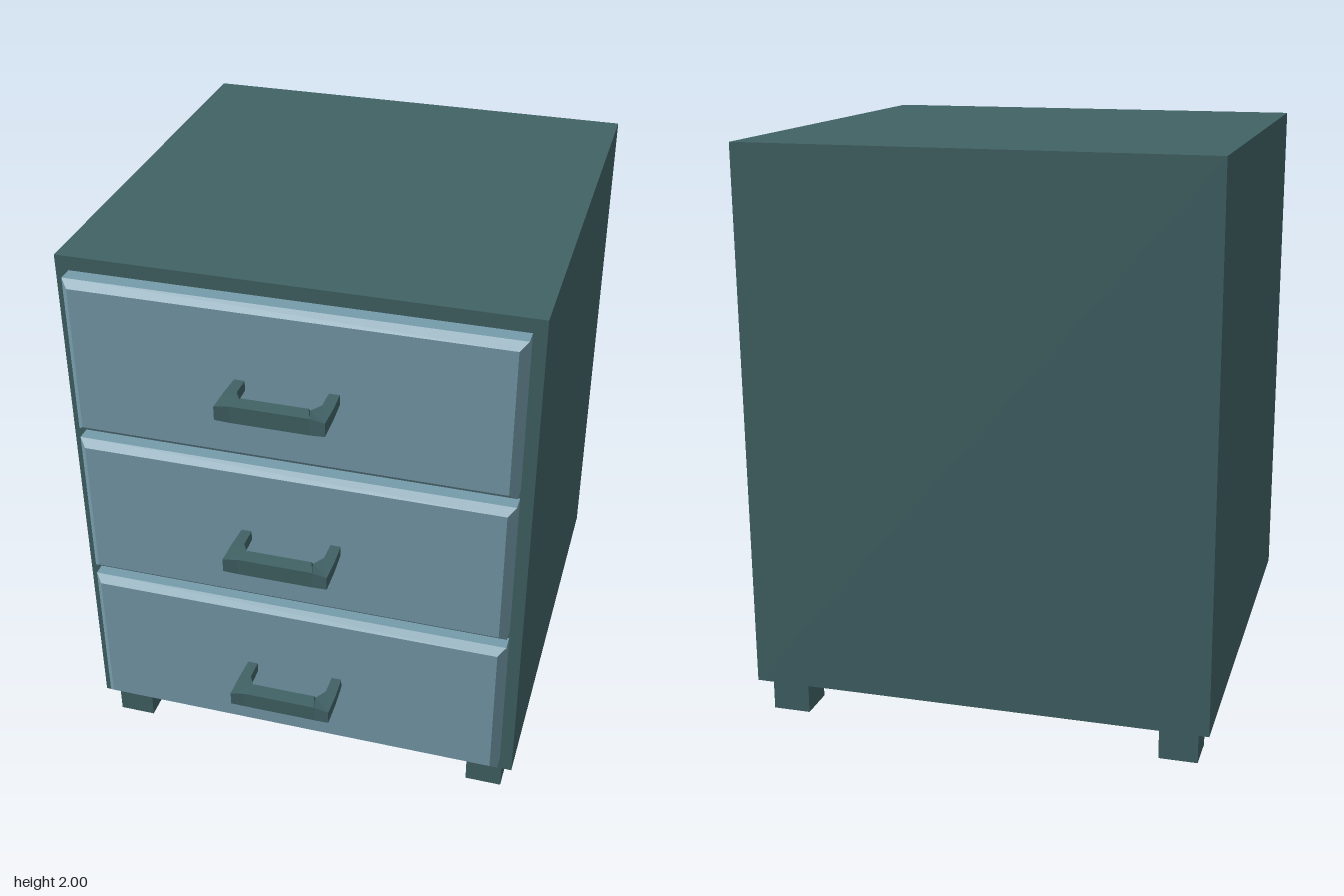
import * as THREE from 'three';

const frameMat = new THREE.MeshStandardMaterial({ color: 0x416265 });
frameMat.name = 'dark teal';
const drawerMat = new THREE.MeshStandardMaterial({ color: 0x759baa });
drawerMat.name = 'pale blue';

function addMesh(parent, name, geometry, material, x = 0, y = 0, z = 0) {
  const mesh = new THREE.Mesh(geometry, material);
  mesh.name = name;
  mesh.position.set(x, y, z);
  parent.add(mesh);
  return mesh;
}

// Drawer front with chamfered front edges; its back chamfer sits inside the cabinet
function drawerFrontGeometry(width, height, chamfer) {
  const w = width / 2 - chamfer, h = height / 2 - chamfer;
  const shape = new THREE.Shape([
    new THREE.Vector2(-w, -h), new THREE.Vector2(w, -h),
    new THREE.Vector2(w, h), new THREE.Vector2(-w, h),
  ]);
  return new THREE.ExtrudeGeometry(shape, {
    depth: 0.08, bevelEnabled: true, bevelSegments: 1,
    bevelSize: chamfer, bevelThickness: chamfer,
  });
}

// U-shaped pull lofted through rectangular sections, thicker along the grip
function handleGeometry() {
  // inner x, inner z, outer x, outer z, half height
  const half = [
    [0.14, -0.01, 0.175, -0.01, 0.018],
    [0.14, 0.075, 0.18, 0.085, 0.02],
    [0.115, 0.12, 0.18, 0.18, 0.024],
    [0.11, 0.12, 0.13, 0.175, 0.03],
  ];
  const mirrored = half.map(([a, b, c, d, h]) => [-a, b, -c, d, h]).reverse();
  const rings = [...half, ...mirrored].map(([ix, iz, ox, oz, h]) => [
    [ix, h, iz], [ox, h, oz], [ox, -h, oz], [ix, -h, iz],
  ]);
  const positions = [];
  const quad = (a, b, c, d) => positions.push(...a, ...b, ...c, ...a, ...c, ...d);
  for (let i = 0; i < rings.length - 1; i++) {
    for (let k = 0; k < 4; k++) {
      const n = (k + 1) % 4;
      quad(rings[i][k], rings[i + 1][k], rings[i + 1][n], rings[i][n]);
    }
  }
  const geometry = new THREE.BufferGeometry();
  geometry.setAttribute('position', new THREE.Float32BufferAttribute(positions, 3));
  geometry.computeVertexNormals();
  return geometry;
}

export function createModel() {
  const model = new THREE.Group();
  model.name = 'drawerCabinet';

  // Cabinet body
  addMesh(model, 'cabinetBody', new THREE.BoxGeometry(1.6, 1.88, 1.604), frameMat, 0, 1.06, -0.13);

  // Four block feet
  const footGeometry = new THREE.BoxGeometry(0.132, 0.12, 0.132);
  for (const x of [-0.693, 0.693]) {
    for (const z of [-0.829, 0.574]) addMesh(model, 'foot', footGeometry, frameMat, x, 0.06, z);
  }

  // Three drawers, bottom to top, each with a pull
  const handle = handleGeometry();
  [[0.175, 0.748], [0.785, 1.34], [1.375, 1.95]].forEach(([low, high], i) => {
    const drawer = new THREE.Group();
    drawer.name = `drawer${i + 1}`;
    drawer.position.y = (low + high) / 2;
    addMesh(drawer, 'drawerFront', drawerFrontGeometry(1.51, high - low, 0.025), drawerMat, 0, 0, 0.645);
    addMesh(drawer, 'handle', handle, frameMat, 0, 0, 0.75);
    model.add(drawer);
  });

  return model;
}
